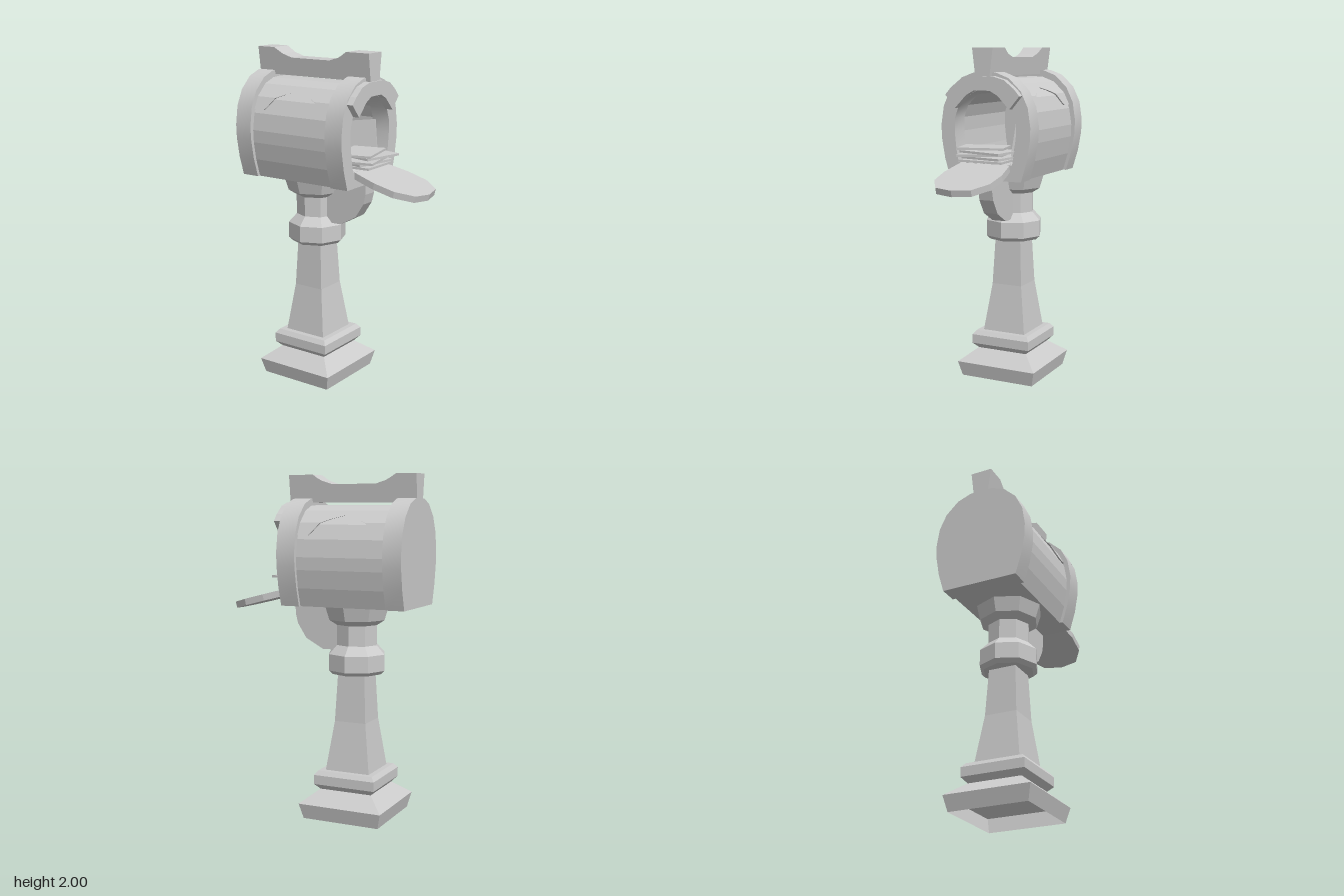
import * as THREE from 'three';
import { toCreasedNormals } from 'three/addons/utils/BufferGeometryUtils.js';

const flat = new THREE.MeshStandardMaterial({ color: 0xcccccc, flatShading: true, side: THREE.DoubleSide });
const smooth = new THREE.MeshStandardMaterial({ color: 0xcccccc, side: THREE.DoubleSide });

const POST_Z = -0.2, FLOOR = 1.25;

// Right half of the rounded box section, from the floor up to the crown
const SECTION = [[0.228, 1.25], [0.262, 1.365], [0.282, 1.48], [0.285, 1.56], [0.268, 1.67],
  [0.225, 1.76], [0.15, 1.832], [0.07, 1.862], [0, 1.866]];
const OPENING = [[0.172, 1.345], [0.186, 1.42], [0.197, 1.52], [0.195, 1.6], [0.17, 1.67],
  [0.1, 1.735], [0.05, 1.76], [0, 1.765]];

const scaled = (pts, s) => pts.map(([x, y]) => [x * s, FLOOR + (y - FLOOR) * s]);
const vecs = (pts) => pts.map(([x, y]) => new THREE.Vector2(x, y));

// Mirrors a right half outline into a closed list of points
function mirrored(half) {
  const left = half.filter(([x]) => x > 0).reverse().map(([x, y]) => [-x, y]);
  return vecs([...half, ...left]);
}

function extrude(points, hole, z0, z1) {
  const shape = new THREE.Shape(points);
  if (hole) shape.holes.push(new THREE.Path(hole));
  const geo = new THREE.ExtrudeGeometry(shape, { depth: z1 - z0, bevelEnabled: false });
  return geo.translate(0, 0, z0);
}

// Turned profile with a chosen number of sides; pairs are half-width and height
function turned(profile, sides) {
  const k = sides === 4 ? Math.SQRT2 : 1;
  const geo = new THREE.LatheGeometry(vecs(profile.map(([r, y]) => [r * k, y])), sides);
  if (sides === 4) geo.rotateY(Math.PI / 4);
  const out = geo.translate(0, 0, POST_Z).toNonIndexed();
  out.computeVertexNormals();
  return out;
}

// Half-width of an outline at a given height
function widthAt(profile, y) {
  for (let i = 1; i < profile.length; i++) {
    const [x0, y0] = profile[i - 1], [x1, y1] = profile[i];
    if (y <= y1) return x0 + (x1 - x0) * (y - y0) / (y1 - y0);
  }
  return 0;
}

// Roof shell whose lower edge rises in an arch along each side
function roofShell() {
  const outer = scaled(SECTION, 0.935), inner = scaled(SECTION, 0.915);
  const edge = [[0.07, 1.655], [0, 1.655], [-0.02, 1.675], [-0.06, 1.725], [-0.12, 1.748], [-0.2, 1.768],
    [-0.28, 1.748], [-0.34, 1.725], [-0.38, 1.675], [-0.4, 1.655], [-0.475, 1.655]];
  const pos = [];
  for (const side of [1, -1]) {
    const columns = edge.map(([z, low]) => [
      [side * widthAt(inner, low), low, z],
      ...outer.map(([, y]) => Math.max(y, low)).map((y) => [side * widthAt(outer, y), y, z]),
    ]);
    for (let i = 1; i < columns.length; i++) {
      for (let j = 1; j < columns[i].length; j++) {
        const a = columns[i - 1][j - 1], b = columns[i][j - 1], c = columns[i][j], d = columns[i - 1][j];
        const quad = side > 0 ? [a, b, c, a, c, d] : [a, c, b, a, d, c];
        pos.push(...quad.flat());
      }
    }
  }
  const geo = new THREE.BufferGeometry();
  geo.setAttribute('position', new THREE.Float32BufferAttribute(pos, 3));
  geo.computeVertexNormals();
  return geo;
}

// Ridge bar on the roof, narrowing towards its foot
function ridgeBar() {
  const outline = vecs([[0.21, 1.84], [0.21, 2], [0.055, 2], [0.03, 1.982], [0, 1.965], [-0.065, 1.945],
    [-0.335, 1.945], [-0.4, 1.965], [-0.43, 1.982], [-0.46, 2], [-0.58, 2], [-0.58, 1.84]]);
  const geo = extrude(outline, null, -1, 1).rotateY(-Math.PI / 2);
  const p = geo.attributes.position;
  for (let i = 0; i < p.count; i++) {
    p.setX(i, p.getX(i) * (0.045 + 0.02 * (p.getY(i) - 1.84) / 0.16));
  }
  geo.computeVertexNormals();
  return geo;
}

export function createModel() {
  const model = new THREE.Group();
  const add = (name, geo, mat = flat, parent = model) => {
    const mesh = new THREE.Mesh(geo, mat);
    mesh.name = name;
    parent.add(mesh);
    return mesh;
  };

  // Square base and tapering post, hollow underneath
  add('base', turned([[0.235, 0], [0.257, 0.09], [0.16, 0.168], [0.19, 0.2],
    [0.19, 0.255], [0.17, 0.28], [0.137, 0.28]], 4));
  add('post', turned([[0.137, 0.28], [0.097, 0.57], [0.083, 0.86]], 4));

  // Eight-sided collar, neck and flared capital
  add('collar', turned([[0.07, 0.85], [0.15, 0.85], [0.174, 0.872], [0.174, 0.968], [0.125, 1.02],
    [0.125, 1.138], [0.172, 1.168], [0.198, 1.25]], 8));

  // Curved bracket under the front
  const bracket = vecs([[-0.12, 1.25], [-0.12, 1.0], [-0.065, 0.985], [0, 0.985], [0.11, 1.045],
    [0.165, 1.13], [0.18, 1.19], [0.18, 1.25]]);
  add('bracket', extrude(bracket, null, -0.045, 0.045).rotateY(-Math.PI / 2));

  // Hollow body with a thicker frame at each end
  const rim = mirrored(SECTION), hole = mirrored(OPENING);
  add('body', extrude(mirrored(scaled(SECTION, 0.915)), hole, -0.472, 0.067));
  add('roof', roofShell());
  add('frontFrame', toCreasedNormals(extrude(rim, hole, 0.065, 0.18), 0.6), smooth);
  add('backFrame', toCreasedNormals(extrude(rim, null, -0.58, -0.47), 0.6), smooth);
  add('ridge', ridgeBar());

  // Arched hood above the opening
  const hoodOuter = [[0.235, 1.735], [0.2, 1.775], [0.14, 1.822], [0.07, 1.842]];
  const hoodInner = [[0.05, 1.762], [0.1, 1.735], [0.172, 1.66]];
  const flip = (pts) => pts.map(([x, y]) => [-x, y]).reverse();
  const hood = vecs([...hoodOuter, ...flip(hoodOuter), ...flip(hoodInner), ...hoodInner]);
  add('hood', extrude(hood, null, 0.17, 0.22));

  // Open door hanging forward from the sill
  const doorHalf = [[0.15, 0], [0.166, 0.075], [0.183, 0.185], [0.175, 0.315], [0.11, 0.418], [0, 0.443]];
  const door = add('door', extrude(mirrored(doorHalf), null, 0, 0.038).rotateX(Math.PI / 2));
  door.position.set(0, 1.352, 0.15);
  door.rotation.x = 0.252;

  // Stack of letters and one leaning on the inner wall
  const letters = new THREE.Group();
  letters.name = 'letters';
  model.add(letters);
  const stack = [[-0.005, 0.15, 0.06], [0.01, 0.13, -0.18], [-0.02, 0.16, 0.2], [0.02, 0.17, -0.15], [-0.025, 0.14, 0.24]];
  stack.forEach(([x, z, turn], i) => {
    const letter = add('letter', new THREE.BoxGeometry(0.27, 0.013, 0.2), flat, letters);
    letter.position.set(x, 1.362 + i * 0.018, z);
    letter.rotation.set(0.02 * (i % 2), turn, 0.02 * (i % 3 - 1));
  });
  const leaning = add('leaningLetter', new THREE.BoxGeometry(0.013, 0.21, 0.29), flat, letters);
  leaning.position.set(0.12, 1.475, -0.02);
  leaning.rotation.set(-0.12, 0.27, -0.1);

  return model;
}
